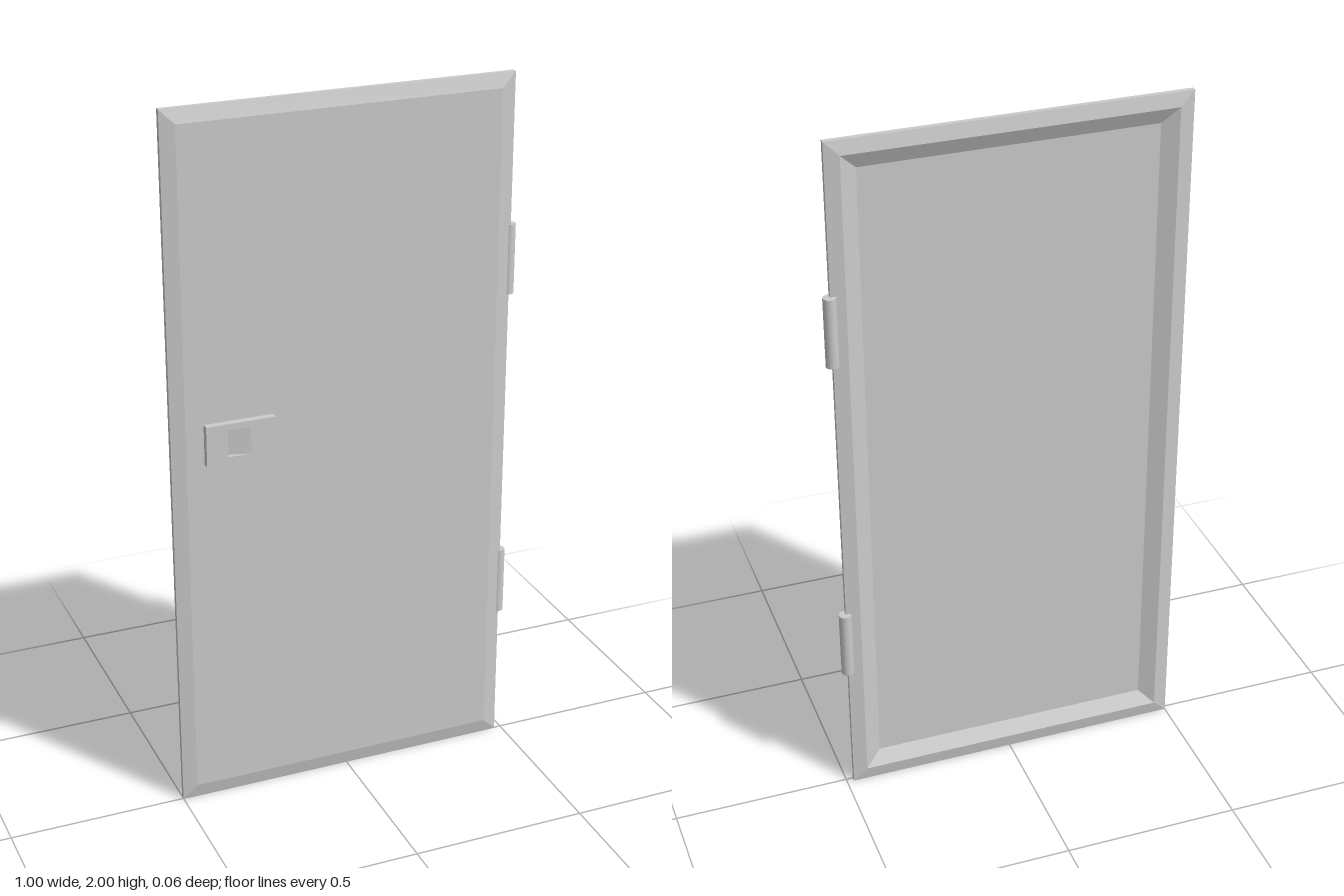
import * as THREE from 'three';

const grey = new THREE.MeshStandardMaterial({ color: 0xcccccc, flatShading: true });
const smooth = new THREE.MeshStandardMaterial({ color: 0xcccccc });

function add(group, name, geometry, x = 0, y = 0, z = 0, material = grey) {
  const mesh = new THREE.Mesh(geometry, material);
  mesh.name = name;
  mesh.position.set(x, y, z);
  group.add(mesh);
  return mesh;
}

// Skin nested rectangles given as [inset, z], from front cap to back cap.
function rectangleLoft(x0, x1, y0, y1, rings) {
  const points = [], faces = [];
  for (const [d, z] of rings) {
    points.push(x0 + d, y0 + d, z, x1 - d, y0 + d, z, x1 - d, y1 - d, z, x0 + d, y1 - d, z);
  }
  const quad = (a, b, c, d) => faces.push(a, b, c, a, c, d);
  quad(0, 1, 2, 3);
  for (let r = 0; r < rings.length - 1; r++) {
    for (let i = 0; i < 4; i++) {
      const j = (i + 1) % 4, a = r * 4, b = a + 4;
      quad(a + i, b + i, b + j, a + j);
    }
  }
  const last = (rings.length - 1) * 4;
  quad(last + 3, last + 2, last + 1, last);
  const indexed = new THREE.BufferGeometry();
  indexed.setAttribute('position', new THREE.Float32BufferAttribute(points, 3));
  indexed.setIndex(faces);
  const geometry = indexed.toNonIndexed();
  geometry.computeVertexNormals();
  return geometry;
}

function rectanglePath(path, x0, y0, x1, y1) {
  path.moveTo(x0, y0);
  path.lineTo(x1, y0);
  path.lineTo(x1, y1);
  path.lineTo(x0, y1);
  path.closePath();
  return path;
}

export function createModel() {
  const door = new THREE.Group();
  door.name = 'door';

  // Bevelled panel with a sunken back
  add(door, 'doorPanel', rectangleLoft(-0.5, 0.48, 0, 2, [
    [0.04, 0.01], [0, 0.001], [0, -0.013], [0.04, -0.02], [0.085, 0.001],
  ]));

  // Latch plate with a finger recess whose floor ramps up to the right
  const latch = new THREE.Group();
  latch.name = 'latch';
  door.add(latch);
  const plate = rectanglePath(new THREE.Shape(), -0.41, 1.03, -0.215, 1.145);
  plate.holes.push(rectanglePath(new THREE.Path(), -0.35, 1.05, -0.285, 1.128));
  add(latch, 'latchPlate',
    new THREE.ExtrudeGeometry(plate, { depth: 0.02, bevelEnabled: false }), 0, 0, 0.01);
  const ramp = new THREE.PlaneGeometry(0.065, 0.078);
  const p = ramp.attributes.position;
  for (let i = 0; i < p.count; i++) p.setZ(i, p.getX(i) < 0 ? 0.014 : 0.03);
  ramp.computeVertexNormals();
  add(latch, 'fingerRamp', ramp, -0.3175, 1.089, 0);

  // Hinge barrels on the left edge
  for (const [name, y] of [['upperHinge', 1.48], ['lowerHinge', 0.497]]) {
    add(door, name, new THREE.CylinderGeometry(0.018, 0.018, 0.198, 16), 0.482, y, -0.013, smooth);
  }
  return door;
}
